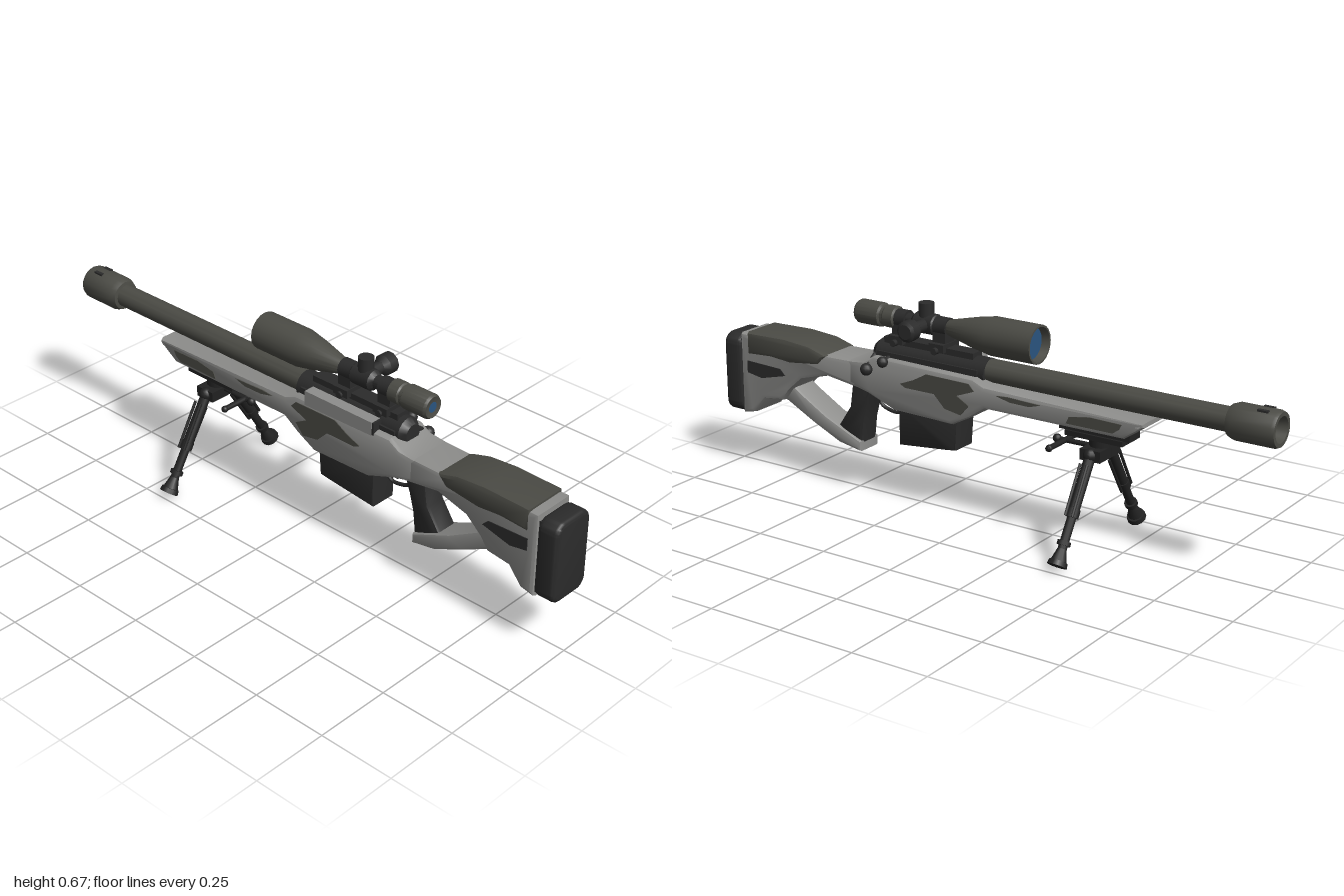
import * as THREE from 'three';
import { toCreasedNormals } from 'three/addons/utils/BufferGeometryUtils.js';

const mat = (name, color, extra = {}) => {
  const m = new THREE.MeshStandardMaterial({ color, ...extra });
  m.name = name;
  return m;
};

export function createModel() {
  const root = new THREE.Group();
  root.name = 'rifle';
  const grey = mat('light grey', 0x8e8e8c);
  const olive = mat('dark olive', 0x4b4b45);
  const black = mat('black', 0x2b2b2b);
  const dark = mat('bipod black', 0x222222);
  const blue = mat('lens blue', 0x2a5580);

  const add = (name, geo, material, x = 0, y = 0, z = 0, parent = root) => {
    const m = new THREE.Mesh(geo, material);
    m.name = name;
    m.position.set(x, y, z);
    parent.add(m);
    return m;
  };
  const box = (name, w, h, d, material, x, y, z, parent) =>
    add(name, new THREE.BoxGeometry(w, h, d), material, x, y, z, parent);

  // Side profile given as [z, y], extruded across x and centred on x = cx
  const slab = (name, pts, halfWidth, bevel, material, cx = 0) => {
    const shape = new THREE.Shape(pts.map(p => new THREE.Vector2(p[0], p[1])));
    const depth = 2 * (halfWidth - bevel);
    const g = new THREE.ExtrudeGeometry(shape, {
      depth, bevelEnabled: bevel > 0, bevelSize: bevel, bevelThickness: bevel,
      bevelOffset: -bevel, bevelSegments: 2,
    });
    g.translate(0, 0, -depth / 2).rotateY(-Math.PI / 2);
    return add(name, toCreasedNormals(g, 0.6), material, cx, 0, 0);
  };

  // Turned part along z, profile given as [radius, z] with z rising on the outside
  const turned = (name, pts, material, y, sides = 20) => {
    const g = new THREE.LatheGeometry(pts.map(p => new THREE.Vector2(p[0], p[1])), sides);
    g.rotateX(Math.PI / 2);
    return add(name, toCreasedNormals(g, 0.6), material, 0, y, 0);
  };

  // Round rod between two points
  const rod = (name, a, b, r1, r2, material, parent = root, sides = 10) => {
    const A = new THREE.Vector3(...a), B = new THREE.Vector3(...b);
    const dir = B.clone().sub(A);
    const m = add(name, new THREE.CylinderGeometry(r2, r1, dir.length(), sides), material, 0, 0, 0, parent);
    m.position.copy(A).add(B).multiplyScalar(0.5);
    m.quaternion.setFromUnitVectors(new THREE.Vector3(0, 1, 0), dir.normalize());
    return m;
  };
  const lens = (name, r, y, z, back) => {
    const m = add(name, new THREE.CircleGeometry(r, 20), blue, 0, y, z);
    if (back) m.rotation.y = Math.PI;
  };

  // Stock
  slab('chassis', [[0.48, 0.449], [0.42, 0.455], [0.38, 0.478], [0, 0.472], [-0.04, 0.455], [-0.6, 0.444],
    [-0.6, 0.43], [-0.53, 0.382], [-0.045, 0.382], [0.01, 0.345], [0.08, 0.308], [0.3, 0.313], [0.4, 0.35], [0.48, 0.37]],
  0.077, 0.016, grey);
  slab('buttStock', [[0.93, 0.465], [0.88, 0.465], [0.596, 0.447], [0.44, 0.45], [0.44, 0.36], [0.57, 0.378],
    [0.676, 0.348], [0.73, 0.3], [0.757, 0.262], [0.837, 0.252], [0.88, 0.198], [0.93, 0.187]], 0.075, 0.014, grey);
  slab('lowerStrut', [[0.82, 0.262], [0.74, 0.318], [0.7, 0.29], [0.596, 0.23], [0.457, 0.17], [0.457, 0.137],
    [0.543, 0.152], [0.65, 0.2], [0.757, 0.255]], 0.05, 0.01, grey);
  slab('cheekPiece', [[0.9, 0.472], [0.74, 0.476], [0.64, 0.468], [0.568, 0.446], [0.6, 0.41],
    [0.72, 0.395], [0.8, 0.402], [0.9, 0.396]], 0.079, 0.014, olive);
  slab('pistolGrip', [[0.49, 0.38], [0.41, 0.36], [0.432, 0.3], [0.448, 0.24], [0.457, 0.165], [0.53, 0.185],
    [0.553, 0.208], [0.505, 0.28]], 0.04, 0.012, black);

  // Rounded butt pad
  const pad = new THREE.Shape();
  const w = 0.064, lo = 0.2, hi = 0.443, r = 0.025;
  pad.absarc(w - r, hi - r, r, 0, Math.PI / 2);
  pad.absarc(-w + r, hi - r, r, Math.PI / 2, Math.PI);
  pad.absarc(-w + r, lo + r, r, Math.PI, Math.PI * 1.5);
  pad.absarc(w - r, lo + r, r, Math.PI * 1.5, Math.PI * 2);
  const padGeo = new THREE.ExtrudeGeometry(pad, {
    depth: 0.044, bevelSize: 0.013, bevelThickness: 0.013, bevelSegments: 3, curveSegments: 5 });
  add('buttPad', toCreasedNormals(padGeo, 0.7), black, 0, 0, 0.943);
  box('buttPlate', 0.13, 0.24, 0.03, black, 0, 0.322, 0.94);

  // Camouflage patches on both sides
  const patches = [
    [[0.9, 0.375], [0.76, 0.37], [0.74, 0.35], [0.84, 0.325], [0.9, 0.335]],
    [[0.27, 0.41], [0.22, 0.43], [0.17, 0.458], [0.01, 0.456], [-0.01, 0.435], [0.055, 0.41], [0.01, 0.385],
      [0.04, 0.35], [0.1, 0.36], [0.14, 0.4], [0.25, 0.4]],
    [[-0.34, 0.398], [-0.35, 0.42], [-0.42, 0.432], [-0.53, 0.43], [-0.52, 0.412], [-0.5, 0.398]],
    [[-0.09, 0.437], [-0.13, 0.44], [-0.25, 0.436], [-0.21, 0.424], [-0.14, 0.425]],
  ];
  for (const s of [-1, 1]) patches.forEach((p, i) =>
    slab('camoPatch', p, 0.002, 0, i === 0 ? black : olive, s * (i === 0 ? 0.0755 : 0.0775)));

  // Receiver, bolt and side block
  turned('receiver', [[0, -0.02], [0.046, -0.02], [0.046, 0.39], [0.03, 0.41], [0, 0.41]], black, 0.477);
  box('receiverBase', 0.1, 0.035, 0.38, black, 0, 0.475, 0.19);
  box('sideBlock', 0.037, 0.05, 0.27, grey, -0.0575, 0.483, 0.18);
  box('sideBlockEnd', 0.035, 0.048, 0.008, black, -0.0575, 0.483, 0.318);
  box('scopeRail', 0.05, 0.02, 0.34, black, 0, 0.525, 0.2);
  const ball = (name, rad, x, y, z, m = black, parent = root) =>
    add(name, new THREE.SphereGeometry(rad, 12, 8), m, x, y, z, parent);
  rod('boltHandle', [0.03, 0.48, 0.395], [0.085, 0.44, 0.395], 0.009, 0.009, black);
  ball('boltKnob', 0.02, 0.088, 0.437, 0.395);
  rod('safetyLever', [0.03, 0.48, 0.335], [0.08, 0.47, 0.335], 0.008, 0.008, black);
  ball('safetyKnob', 0.018, 0.082, 0.47, 0.335);

  // Barrel and muzzle brake
  turned('barrel', [[0.037, -0.86], [0.037, 0]], olive, 0.485);
  turned('muzzleBrake', [[0.034, -0.955], [0.04, -1], [0.052, -1], [0.056, -0.99], [0.056, -0.865], [0.048, -0.845],
    [0.036, -0.843]], olive, 0.485);
  lens('boreDisc', 0.036, 0.485, -0.96, true);
  for (const s of [-1, 1]) box('brakeVent', 0.012, 0.006, 0.035, black, s * 0.02, 0.537, -0.95);

  // Magazine, trigger and guard
  slab('magazine', [[0.3, 0.33], [0.075, 0.33], [0.083, 0.215], [0.12, 0.21], [0.3, 0.192]], 0.048, 0.006, black);
  const guard = new THREE.CatmullRomCurve3([[0.41, 0.36], [0.405, 0.3], [0.37, 0.283], [0.33, 0.283], [0.305, 0.32]]
    .map(p => new THREE.Vector3(0, p[1], p[0])));
  add('triggerGuard', new THREE.TubeGeometry(guard, 16, 0.006, 6), black);
  rod('trigger', [0, 0.35, 0.37], [0, 0.298, 0.355], 0.006, 0.004, black);

  // Telescopic sight
  const sy = 0.596;
  turned('sightObjective', [[0.05, -0.165], [0.055, -0.196], [0.061, -0.196], [0.061, -0.03], [0.05, 0.03],
    [0.026, 0.13], [0.022, 0.14]], olive, sy);
  turned('sightTube', [[0.022, 0.12], [0.022, 0.34]], black, sy);
  turned('sightEyepiece', [[0.022, 0.325], [0.036, 0.335], [0.036, 0.37], [0.032, 0.375], [0.032, 0.385],
    [0.039, 0.39], [0.039, 0.475], [0.034, 0.483], [0.018, 0.478], [0, 0.478]], olive, sy);
  lens('objectiveLens', 0.052, sy, -0.17, true);
  lens('eyepieceLens', 0.017, sy, 0.481, false);
  turned('turretHousing', [[0.02, 0.17], [0.034, 0.185], [0.034, 0.255], [0.02, 0.27]], black, sy, 12);
  rod('topTurret', [0, 0.61, 0.222], [0, 0.663, 0.222], 0.025, 0.025, black, root, 12);
  rod('sideTurretNeck', [0, sy, 0.215], [0.08, sy, 0.215], 0.02, 0.02, black, root, 12);
  rod('sideTurretFlare', [0.068, sy, 0.215], [0.085, sy, 0.215], 0.02, 0.034, black);
  rod('sideTurret', [0.085, sy, 0.215], [0.118, sy, 0.215], 0.034, 0.034, black);
  rod('sideTurretCap', [0.118, sy, 0.215], [0.125, sy, 0.215], 0.034, 0.024, black);

  // Sight mounts
  for (const z of [0.158, 0.315]) {
    turned('mountRing', [[0.022, z - 0.024], [0.03, z - 0.024], [0.03, z + 0.024], [0.022, z + 0.024]], black, sy, 12);
    box('mountFoot', 0.05, 0.05, 0.048, black, 0, 0.56, z);
    box('mountClamp', 0.085, 0.026, 0.055, black, 0, 0.535, z);
    rod('clampScrew', [-0.05, 0.527, z], [0.056, 0.527, z], 0.011, 0.011, black);
  }

  // Bipod: rail, hub, swivel lever and mirrored legs
  const bipod = new THREE.Group();
  bipod.name = 'bipod';
  root.add(bipod);
  box('bipodRail', 0.06, 0.022, 0.245, dark, 0, 0.371, -0.408, bipod);
  box('bipodPlate', 0.075, 0.016, 0.2, dark, 0, 0.353, -0.41, bipod);
  rod('bipodHub', [0, 0.35, -0.415], [0, 0.29, -0.415], 0.035, 0.035, dark, bipod, 12);
  box('bipodYoke', 0.12, 0.035, 0.07, dark, 0, 0.305, -0.413, bipod);
  rod('swivelLever', [0, 0.315, -0.4], [0, 0.313, -0.265], 0.008, 0.008, dark, bipod);
  ball('leverKnob', 0.014, 0, 0.314, -0.262, dark, bipod);
  rod('crossPin', [-0.095, 0.313, -0.29], [0.098, 0.313, -0.29], 0.009, 0.009, dark, bipod);
  for (const s of [-1, 1]) {
    const leg = new THREE.Group();
    leg.name = s > 0 ? 'leftLeg' : 'rightLeg';
    bipod.add(leg);
    const z = -0.412;
    const at = t => [s * (0.05 + 0.173 * t), 0.31 - 0.283 * t, z];
    const off = (t, dx, dz) => { const p = at(t); return [p[0] + s * dx, p[1] + dx * 0.6, z + dz]; };
    const part = (name, t0, t1, r0, r1) => rod(name, at(t0), at(t1), r0, r1, dark, leg);
    part('upperLeg', 0, 0.55, 0.017, 0.017);
    part('legCollar', 0.52, 0.6, 0.02, 0.02);
    part('lowerLeg', 0.6, 0.95, 0.014, 0.014);
    part('legLock', 0.82, 0.86, 0.021, 0.021);
    part('footCone', 0.88, 1, 0.013, 0.024);
    for (const dz of [-0.012, 0.012])
      rod('legSpring', off(0.12, 0.02, dz), off(0.6, 0.017, dz), 0.005, 0.005, dark, leg, 6);
    rod('innerSpring', off(0.15, -0.02, 0), off(0.6, -0.018, 0), 0.005, 0.005, dark, leg, 6);
    rod('footPad', [s * 0.224, 0.026, z], [s * 0.233, 0.013, z], 0.028, 0.031, dark, leg, 12);
    ball('hinge', 0.022, s * 0.055, 0.305, z, dark, leg);
    ball('pinKnob', 0.011, s * 0.09, 0.313, -0.29, dark, leg);
  }
  return root;
}
